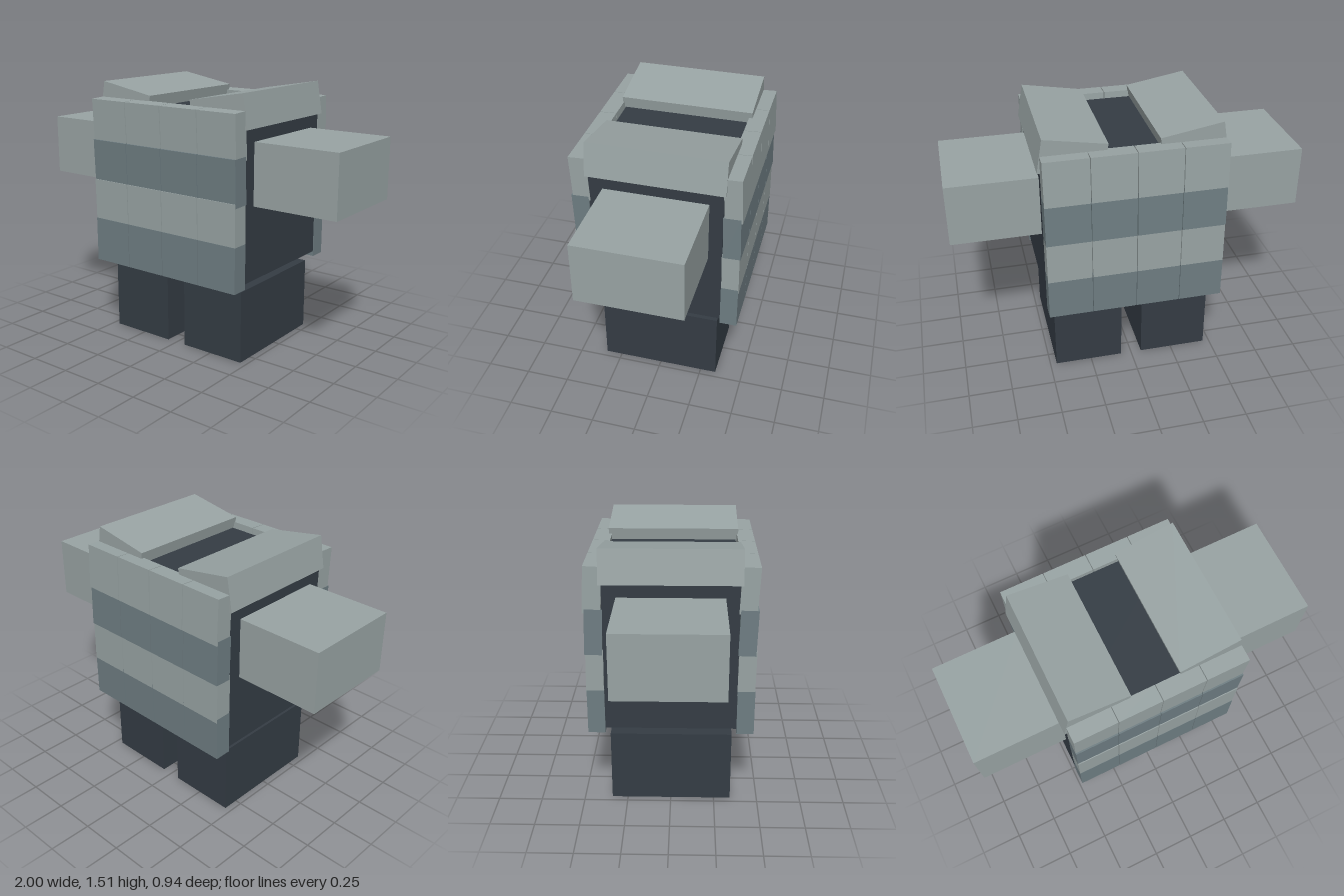
import * as THREE from 'three';

const paint = (color) => new THREE.MeshStandardMaterial({ color, flatShading: true });

export function createModel() {
  const model = new THREE.Group();
  model.name = 'armouredTorso';
  const light = paint(0x98a3a3);
  const blueGrey = paint(0x6e7d82);
  const dark = paint(0x343c44);
  const Z = 0.002; // shared depth offset

  const box = (name, material, size, position, parent = model) => {
    const mesh = new THREE.Mesh(new THREE.BoxGeometry(...size), material);
    mesh.name = name;
    mesh.position.set(...position);
    parent.add(mesh);
    return mesh;
  };

  // Core
  box('body', dark, [1, 0.905, 0.73], [0, 0.9325, Z]);

  // Mirrored limbs and sloping shoulder guards
  for (const [side, s] of [['left', 1], ['right', -1]]) {
    box(side + 'Leg', dark, [0.4, 0.42, 0.685], [s * 0.262, 0.21, Z]);
    box(side + 'Arm', light, [0.5, 0.35, 0.578], [s * 0.75, 1.075, Z]);
    const guard = box(side + 'ShoulderGuard', light, [0.353, 0.19, 0.758], [s * 0.33, 1.388, Z]);
    guard.rotation.z = s * 0.17;
  }

  // Overlapping plate rows, each leaning a little more towards the top
  for (const [face, s] of [['front', 1], ['back', -1]]) {
    const plates = new THREE.Group();
    plates.name = face + 'Plates';
    model.add(plates);
    for (let row = 0; row < 4; row++) {
      for (let col = 0; col < 4; col++) {
        const banded = row % 2 === 0;
        const plate = box(face + 'Plate', banded ? blueGrey : light,
          [banded ? 0.249 : 0.248, 0.26, 0.097],
          [(col - 1.5) * 0.2525, 0.58 + row * 0.2365, s * 0.414 + Z], plates);
        plate.rotation.x = row * 0.015;
      }
    }
  }
  return model;
}
